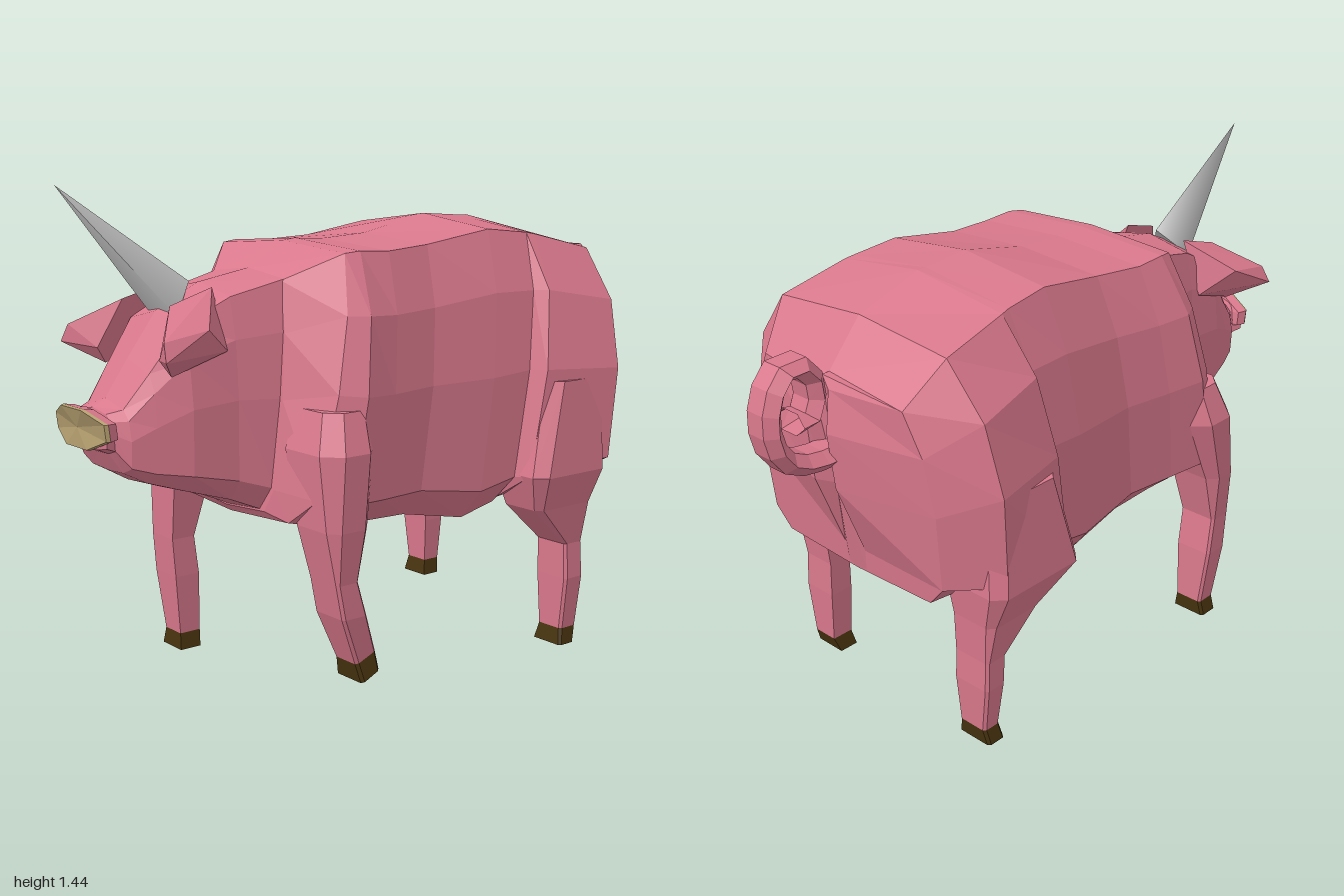
import * as THREE from 'three';
import { ConvexGeometry } from 'three/addons/geometries/ConvexGeometry.js';

const pink = new THREE.MeshStandardMaterial({ color: 0xd9788c, flatShading: true, side: THREE.DoubleSide });
pink.name = 'pinkSkin';
const brown = new THREE.MeshStandardMaterial({ color: 0x47330f, flatShading: true });
brown.name = 'darkBrownHoof';
const tan = new THREE.MeshStandardMaterial({ color: 0xb39d6e, flatShading: true });
tan.name = 'tanNose';
const grey = new THREE.MeshStandardMaterial({ color: 0xc6c6c6 });
grey.name = 'greyHorn';

// Closed skin over rings of [x, y, z] points, capped at both ends
function loft(rings) {
  const n = rings[0].length;
  const mean = r => [0, 1, 2].map(k => r.reduce((s, p) => s + p[k], 0) / n);
  const pts = rings.flat();
  const a = pts.push(mean(rings[0])) - 1;
  const b = pts.push(mean(rings[rings.length - 1])) - 1;
  const tris = [];
  for (let j = 0; j < n; j++) {
    const k = (j + 1) % n, last = (rings.length - 1) * n;
    tris.push([a, k, j], [b, last + j, last + k]);
    for (let i = 0; i < rings.length - 1; i++) {
      const p = i * n, q = p + n;
      tris.push([p + j, p + k, q + k], [p + j, q + k, q + j]);
    }
  }
  // Turn the faces outward
  const v = pts.map(p => new THREE.Vector3(...p));
  const volume = tris.reduce((s, [i, j, k]) => s + v[i].dot(v[j].clone().cross(v[k])), 0);
  if (volume < 0) tris.forEach(t => t.reverse());
  const geo = new THREE.BufferGeometry();
  geo.setAttribute('position', new THREE.Float32BufferAttribute(pts.flat(), 3));
  geo.setIndex(tris.flat());
  const flat = geo.toNonIndexed();
  flat.computeVertexNormals();
  return flat;
}

// Mirrored torso or head ring; lean moves the top of the ring back along x
function bodyRing([x, lean, top, bottom, topHalf, half, bottomHalf, drop]) {
  const h = top - bottom;
  const side = [
    [top - drop, topHalf],
    [bottom + h * 0.76, topHalf * 0.3 + half * 0.7],
    [bottom + h * 0.49, half],
    [bottom + h * 0.12, half * 0.98],
    [bottom + h * 0.02, bottomHalf],
  ];
  const half1 = [[top, 0], ...side, [bottom, 0]];
  const half2 = side.slice().reverse().map(([y, z]) => [y, -z]);
  return [...half1, ...half2].map(([y, z]) => [x + lean * (y - bottom) / h, y, z]);
}

// Leg ring: a rectangle with its outer corners cut by c; tilt slopes it along x
function legRing([y, x0, x1, z0, z1, c = 0.008, tilt = 0], side) {
  return [[x0, z0], [x1, z0], [x1, z1 - c], [x1 - c, z1], [x0 + c, z1], [x0, z1 - c]]
    .map(([x, z]) => [x, y + tilt * (x - (x0 + x1) / 2), side * z]);
}

export function createModel() {
  const pig = new THREE.Group();
  pig.name = 'hornedPig';
  const add = (name, geo, mat, parent = pig) => {
    const m = new THREE.Mesh(geo, mat);
    m.name = name;
    parent.add(m);
    return m;
  };

  // Head: x, lean, top, bottom, top half width, half width, bottom half width, edge drop
  const head = [
    [-0.935, -0.01, 0.865, 0.755, 0.07, 0.12, 0.06, 0.01],
    [-0.90, -0.01, 0.86, 0.74, 0.07, 0.10, 0.06, 0.01],
    [-0.87, 0, 0.88, 0.685, 0.09, 0.13, 0.08, 0.02],
    [-0.81, 0.01, 0.98, 0.65, 0.11, 0.15, 0.10, 0.03],
    [-0.71, 0, 1.10, 0.615, 0.13, 0.18, 0.12, 0.03],
    [-0.57, 0, 1.17, 0.57, 0.15, 0.185, 0.14, 0.03],
    [-0.48, 0.08, 1.20, 0.53, 0.17, 0.21, 0.16, 0.02],
    [-0.40, 0.10, 1.21, 0.52, 0.18, 0.22, 0.18, 0.03],
  ];
  add('head', loft(head.map(bodyRing)), pink);

  // Torso from the shoulders to the rump
  const torso = [
    [-0.49, 0.08, 1.195, 0.53, 0.165, 0.22, 0.18, 0.02],
    [-0.475, 0.19, 1.27, 0.51, 0.29, 0.38, 0.27, 0.02],
    [-0.38, 0.14, 1.275, 0.49, 0.30, 0.42, 0.28, 0.02],
    [-0.24, 0.10, 1.27, 0.48, 0.30, 0.39, 0.29, 0.02],
    [-0.08, 0.10, 1.28, 0.475, 0.28, 0.365, 0.29, 0.02],
    [0.14, 0.11, 1.33, 0.43, 0.29, 0.38, 0.30, 0.035],
    [0.27, 0.13, 1.32, 0.46, 0.30, 0.385, 0.30, 0.04],
    [0.28, 0.15, 1.32, 0.47, 0.305, 0.44, 0.30, 0.045],
    [0.58, 0.06, 1.255, 0.51, 0.32, 0.487, 0.31, 0.03],
    [0.69, 0.06, 1.13, 0.51, 0.27, 0.35, 0.29, 0.03],
  ].map(bodyRing);
  // Rump bulges back to a narrow column under the tail
  const rump = torso[torso.length - 1].map(([x, y, z]) =>
    [x + 0.075 * Math.max(0, 1 - ((y - 0.9) / 0.28) ** 2), y, z * 0.12]);
  add('torso', loft([...torso, rump]), pink);

  // Flat nose, swept back at the sides, on a flared pink rim
  const noseRing = (back, s) => Array.from({ length: 8 }, (_, i) => {
    const a = (i + 0.5) * Math.PI / 4;
    const y = 0.06 * s * Math.sin(a), z = 0.145 * s * Math.cos(a);
    return [-0.982 + back + Math.abs(z) * 0.27 - y * 0.12, 0.812 + y, z];
  });
  add('nose', loft([noseRing(0, 0.96), noseRing(0.009, 1)]), tan);
  add('snoutRim', loft([noseRing(0.009, 1), noseRing(0.04, 0.92)]), pink);

  // Ears
  const earPoints = [
    [-0.60, 1.165, 0.11], [-0.60, 1.0, 0.18], [-0.74, 1.125, 0.12], [-0.77, 0.945, 0.17],
    [-0.84, 1.05, 0.25], [-0.85, 1.0, 0.275], [-0.80, 0.99, 0.16], [-0.70, 1.07, 0.245],
  ];
  for (const s of [1, -1]) {
    const pts = earPoints.map(([x, y, z]) => new THREE.Vector3(x, y, s * z));
    add(s > 0 ? 'leftEar' : 'rightEar', new ConvexGeometry(pts), pink);
  }

  // Three-sided horn with its ridge along the back
  const base = new THREE.Vector3(-0.657, 1.115, 0), tip = new THREE.Vector3(-0.998, 1.44, 0);
  const axis = tip.clone().sub(base);
  const horn = add('horn', new THREE.ConeGeometry(0.08, axis.length(), 3, 1, false, Math.PI / 2), grey);
  horn.position.copy(base).add(tip).multiplyScalar(0.5);
  horn.quaternion.setFromUnitVectors(new THREE.Vector3(0, 1, 0), axis.normalize());

  // Legs: rows of y, x0, x1, z0, z1, corner cut, tilt; the last two rows are the hoof
  const legs = {
    leftFrontLeg: [1, [
      [0.84, -0.43, -0.28, 0.25, 0.41, 0.04], [0.73, -0.465, -0.28, 0.25, 0.45, 0.05],
      [0.52, -0.45, -0.31, 0.28, 0.44, 0.03], [0.37, -0.42, -0.345, 0.30, 0.42], [0.27, -0.40, -0.315, 0.30, 0.42],
      [0.14, -0.338, -0.268, 0.31, 0.40, 0.008, 0.4], [0.085, -0.325, -0.262, 0.30, 0.41, 0.008, 0.45]]],
    rightFrontLeg: [-1, [
      [0.84, -0.43, -0.28, 0.25, 0.41, 0.04], [0.73, -0.47, -0.28, 0.25, 0.45, 0.05],
      [0.52, -0.49, -0.37, 0.28, 0.44, 0.03], [0.36, -0.487, -0.41, 0.30, 0.42], [0.24, -0.478, -0.395, 0.30, 0.42],
      [0.055, -0.46, -0.39, 0.31, 0.40], [0.005, -0.465, -0.395, 0.30, 0.41]]],
    leftHindLeg: [1, [
      [0.85, 0.36, 0.60, 0.28, 0.465, 0.04], [0.57, 0.29, 0.59, 0.29, 0.485, 0.035],
      [0.46, 0.33, 0.565, 0.30, 0.44, 0.02], [0.33, 0.475, 0.55, 0.30, 0.415], [0.22, 0.475, 0.553, 0.30, 0.42],
      [0.055, 0.478, 0.548, 0.31, 0.40], [0.005, 0.467, 0.53, 0.30, 0.41]]],
    rightHindLeg: [-1, [
      [0.85, 0.36, 0.61, 0.28, 0.465, 0.04], [0.57, 0.29, 0.63, 0.29, 0.485, 0.035],
      [0.46, 0.42, 0.615, 0.30, 0.44, 0.02], [0.34, 0.535, 0.61, 0.30, 0.42], [0.25, 0.54, 0.613, 0.30, 0.42],
      [0.105, 0.545, 0.605, 0.31, 0.40], [0.055, 0.535, 0.597, 0.30, 0.41]]],
  };
  for (const [name, [side, rows]] of Object.entries(legs)) {
    const leg = new THREE.Group();
    leg.name = name;
    pig.add(leg);
    const rings = rows.map(r => legRing(r, side));
    add(name + 'Limb', loft(rings.slice(0, -1)), pink, leg);
    add(name + 'Hoof', loft(rings.slice(-2)), brown, leg);
  }

  // Curly tail, broader across than it is thick
  const path = [
    [0.76, 0.905], [0.86, 0.91], [0.935, 0.95], [0.968, 1.04], [0.95, 1.14], [0.89, 1.195],
    [0.83, 1.155], [0.82, 1.075], [0.85, 1.03], [0.89, 1.035],
  ].map(([x, y]) => new THREE.Vector3(x, y, 0));
  const tail = add('tail', new THREE.TubeGeometry(new THREE.CatmullRomCurve3(path), 13, 0.034, 6), pink);
  tail.scale.z = 1.8;

  return pig;
}
